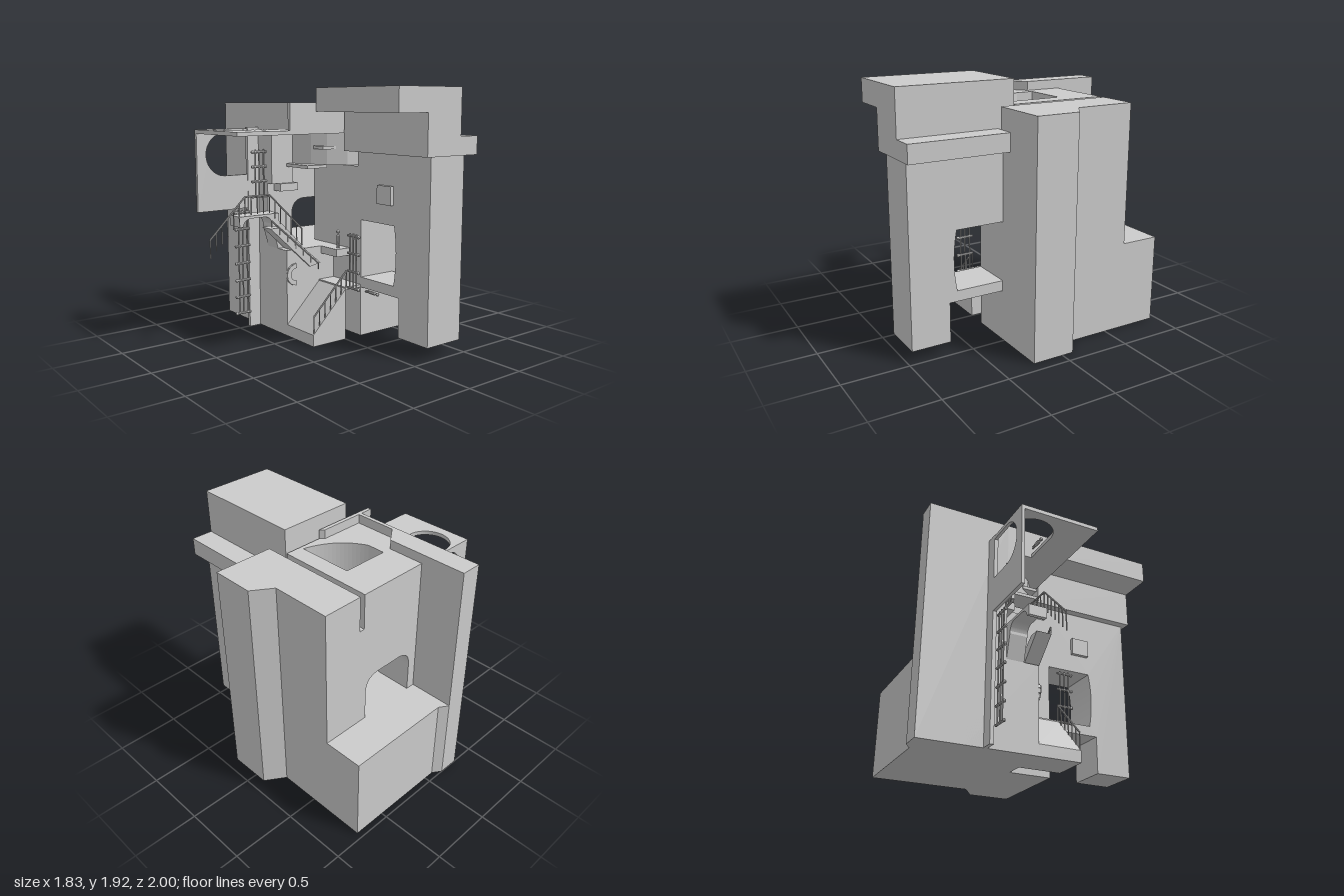
import * as THREE from 'three';

export function createModel() {
  const model = new THREE.Group();
  const mat = new THREE.MeshStandardMaterial({ color: 0xcccccc, flatShading: true, side: THREE.DoubleSide });
  const V = (x, y, z) => new THREE.Vector3(x, y, z);

  const add = (name, geo, parent = model) => {
    const m = new THREE.Mesh(geo, mat);
    m.name = name;
    parent.add(m);
    return m;
  };
  const box = (name, x0, x1, y0, y1, z0, z1, parent) =>
    add(name, new THREE.BoxGeometry(x1 - x0, y1 - y0, z1 - z0)
      .translate((x0 + x1) / 2, (y0 + y1) / 2, (z0 + z1) / 2), parent);
  const poly = (pts) => new THREE.Shape(pts.map(([a, b]) => new THREE.Vector2(a, b)));
  const extrude = (shape, depth) =>
    new THREE.ExtrudeGeometry(shape, { depth, bevelEnabled: false, curveSegments: 16 });
  // shape in x,y swept along z
  const front = (name, shape, z0, z1) => add(name, extrude(shape, z1 - z0).translate(0, 0, z0));
  // shape in x,-z swept upwards
  const plan = (name, shape, y0, y1) => add(name, extrude(shape, y1 - y0).rotateX(-Math.PI / 2).translate(0, y0, 0));
  const planPts = (name, pts, y0, y1) => plan(name, poly(pts.map(([x, z]) => [x, -z])), y0, y1);
  // shape in -z,y swept along x
  const side = (name, shape, x0, x1) => add(name, extrude(shape, x1 - x0).rotateY(Math.PI / 2).translate(x0, 0, 0));
  const rod = (name, a, b, r, parent) => {
    const d = b.clone().sub(a);
    const m = add(name, new THREE.CylinderGeometry(r, r, d.length(), 8), parent);
    m.position.copy(a).addScaledVector(d, 0.5);
    m.quaternion.setFromUnitVectors(V(0, 1, 0), d.normalize());
    return m;
  };
  const group = (name) => {
    const g = new THREE.Group();
    g.name = name;
    model.add(g);
    return g;
  };

  // right tower with a chamfered corner and a slot beside its top
  const outer = [[0.76, -0.65], [0.76, -0.19], [0.91, -0.09], [0.91, 0.24]];
  planPts('rightTower', [[0.41, -0.65], ...outer, [0.15, 0.24], [0.15, -0.36], [0.41, -0.36]], 0, 1.33);
  planPts('rightTowerUpper', [[0.41, -0.65], ...outer, [0.28, 0.24], [0.28, -0.36], [0.41, -0.36]], 1.33, 1.47);
  planPts('rightTowerTop', [[0.45, -0.65], ...outer, [0.45, 0.24]], 1.47, 1.74);

  // low blocks and tall left wall
  planPts('lowBackBlock', [[-0.15, -1], [-0.08, -0.955], [0.76, -0.955], [0.76, -0.65], [-0.15, -0.65]], 0, 0.68);
  box('lowFrontBlock', -0.31, 0.41, 0, 0.68, -0.65, -0.1);
  box('tallLeftWall', -0.31, -0.15, 0, 1.81, -1, -0.36);
  planPts('leftParapet', [[-0.31, -0.36], [-0.15, -0.36], [-0.28, -0.26], [-0.28, 0.1], [-0.31, 0.1]], 1.58, 1.81);
  planPts('frontParapet', [[-0.41, 0.07], [0.07, 0.07], [0.1, 0.1], [-0.41, 0.1]], 1.58, 1.81);
  box('leftPier', -0.41, -0.31, 0, 1.62, -0.52, -0.49);

  // centre body pierced by a round-cornered passage
  const body = new THREE.Shape();
  body.moveTo(-0.31, 0.68);
  body.lineTo(-0.08, 0.68);
  body.lineTo(-0.08, 0.91);
  body.quadraticCurveTo(-0.08, 1.04, 0.05, 1.04);
  body.lineTo(0.25, 1.04);
  body.quadraticCurveTo(0.38, 1.04, 0.38, 0.91);
  body.lineTo(0.38, 0.68);
  body.lineTo(0.41, 0.68);
  body.lineTo(0.41, 1.6);
  body.lineTo(-0.31, 1.6);
  front('centreBody', body, -0.65, -0.36);

  // roof with a well whose side is curved
  const wellPath = (p) => {
    p.moveTo(-0.08, 0.36);
    p.lineTo(0.28, 0.36);
    p.lineTo(0.28, -0.07);
    p.quadraticCurveTo(0.02, -0.01, -0.08, 0.22);
    p.lineTo(-0.08, 0.36);
    return p;
  };
  const roof = poly([[-0.15, 0.65], [0.41, 0.65], [0.41, -0.1], [-0.3, -0.1], [-0.3, 0.26], [-0.15, 0.36]]);
  roof.holes.push(wellPath(new THREE.Path()));
  plan('roof', roof, 1.58, 1.74);
  const shaft = poly([[-0.11, 0.38], [0.3, 0.38], [0.3, -0.1], [0.15, -0.07], [0.02, 0.02], [-0.06, 0.12], [-0.11, 0.22]]);
  shaft.holes.push(wellPath(new THREE.Path()));
  plan('wellShaft', shaft, 1.33, 1.58);
  box('wellFloorLeft', -0.17, 0.02, 1.31, 1.335, -0.36, -0.02);
  box('wellFloorBack', 0.02, 0.28, 1.31, 1.335, -0.36, -0.22);
  box('wellFloorRight', 0.15, 0.28, 1.31, 1.335, -0.22, 0.07);
  box('roofSupport', 0.28, 0.41, 1.47, 1.58, -0.36, 0.24);
  box('wallRecess', -0.31, -0.11, 1.18, 1.58, -0.36, -0.3);
  box('wallLedge', -0.25, -0.08, 1.12, 1.18, -0.36, -0.27);
  box('smallLintel', -0.05, 0.085, 1.455, 1.48, -0.1, 0.02);

  // overhanging front cap
  front('frontCap', poly([[-0.185, 1.745], [0.085, 1.745], [0.085, 1.445], [0.41, 1.445], [0.41, 1.92], [-0.185, 1.92]]), 0.11, 1);
  box('capLedge', 0.41, 0.58, 1.445, 1.58, 0.24, 1);

  // front pillar, lintel wall and sill around a side opening
  const pier = new THREE.Shape();
  pier.moveTo(-0.2, 1.45);
  [[-0.97, 1.45], [-0.97, 0.09], [-0.67, 0.09], [-0.67, 0.39], [-0.2, 0.39], [-0.2, 0.47], [-0.61, 0.47]]
    .forEach(([a, b]) => pier.lineTo(a, b));
  pier.quadraticCurveTo(-0.655, 0.7, -0.61, 0.92);
  pier.lineTo(-0.2, 0.92);
  side('frontPillar', pier, 0.15, 0.48);
  box('doorPanel', 0.12, 0.15, 1.07, 1.21, 0.45, 0.6);
  box('landing', 0, 0.16, 0.39, 0.41, -0.1, 0.24);
  box('innerLedge', 0.02, 0.16, 0.62, 0.68, -0.1, 0.1);

  // thin upright and flat side plates, each with a rounded opening
  const plate = (y0, y1, c, r) => {
    const s = poly([[-0.855, y0], [-0.31, y0], [-0.31, c - r], [-0.61, c - r]]);
    s.absarc(-0.61, c, r, -Math.PI / 2, Math.PI / 2, true);
    s.lineTo(-0.31, c + r);
    s.lineTo(-0.31, y1);
    s.lineTo(-0.855, y1);
    return s;
  };
  front('uprightPlate', plate(0.98, 1.6, 1.415, 0.167), -0.52, -0.495);
  plan('flatPlate', plate(-0.1, 0.52, 0.33, 0.17), 1.58, 1.61);

  // small bridge with an arched underside, flights of stairs
  const bridge = poly([[-0.655, 0.88], [-0.625, 0.88]]);
  bridge.quadraticCurveTo(-0.61, 0.94, -0.55, 0.94);
  bridge.lineTo(-0.43, 0.94);
  bridge.quadraticCurveTo(-0.38, 0.94, -0.36, 0.88);
  bridge.lineTo(-0.3, 0.88);
  bridge.lineTo(-0.3, 0.96);
  bridge.lineTo(-0.655, 0.96);
  front('bridge', bridge, -0.36, -0.22);
  front('upperFlight', poly([[-0.36, 0.96], [-0.08, 0.68], [-0.31, 0.68], [-0.36, 0.86]]), -0.36, -0.22);
  front('middleFlight', poly([[-0.47, 0.87], [-0.38, 0.87], [0, 0.55], [-0.1, 0.53]]), -0.2, -0.08);
  front('lowerFlight', poly([[-0.31, 0], [0, 0], [0, 0.4], [-0.31, 0.09]]), -0.1, 0.24);

  // handrails with hanging balusters
  const railing = (name, pts, z, drop, step) => {
    const g = group(name);
    for (let i = 0; i < pts.length - 1; i++) {
      const a = V(...pts[i], z), b = V(...pts[i + 1], z);
      rod('handrail', a, b, 0.007, g);
      const n = Math.round((b.x - a.x) / step);
      for (let k = 0; k <= n; k++) {
        const p = a.clone().lerp(b, k / n);
        rod('baluster', p, V(p.x, p.y - drop, z), 0.005, g);
      }
    }
  };
  railing('bridgeRailing', [[-0.91, 0.815], [-0.61, 1.11], [-0.39, 1.11], [-0.085, 0.815]], -0.215, 0.14, 0.05);
  railing('middleRailing', [[-0.46, 0.93], [-0.02, 0.55]], -0.08, 0.05, 0.07);
  railing('lowerRailing', [[-0.3, 0.23], [0.01, 0.54]], 0.235, 0.13, 0.05);

  // sideways balustrades: knobbed posts joined by thin rods
  const balustrade = (name, root, dir, heights) => {
    const g = group(name);
    const at = (t, y) => root.clone().addScaledVector(dir, t).setY(y);
    heights.forEach((y) => {
      rod('post', at(0, y), at(0.125, y), 0.01, g);
      add('knob', new THREE.SphereGeometry(0.014, 8, 6), g).position.copy(at(0.125, y));
    });
    [0.025, 0.065, 0.1].forEach((t) =>
      rod('upright', at(t, heights[0]), at(t, heights[heights.length - 1] + 0.02), 0.006, g));
  };
  balustrade('lowerBalustrade', V(-0.41, 0, -0.48), V(-1, 0, 0), [0.13, 0.265, 0.4, 0.54, 0.68, 0.815, 0.95]);
  balustrade('upperBalustrade', V(-0.31, 0, -0.38), V(-1, 0, 0), [1.08, 1.2, 1.315, 1.43]);
  balustrade('frontBalustrade', V(0.02, 0, 0.24), V(0, 0, 1), [0.41, 0.54, 0.68, 0.815]);

  // sideways arch of wedge stones on the low wall
  const stones = group('stoneArch');
  for (let i = 0; i < 7; i++) {
    const a = Math.PI / 2 + (i + 0.5) * Math.PI / 7;
    const m = box('archStone', -0.018, 0.018, -0.017, 0.017, -0.01, 0.01, stones);
    m.position.set(-0.23 + Math.cos(a) * 0.068, 0.485 + Math.sin(a) * 0.068, -0.095);
    m.rotation.z = a;
  }

  // small mannequins
  const figure = (x, y, z, rx, rz) => {
    const g = group('figure');
    add('torso', new THREE.CapsuleGeometry(0.014, 0.05, 3, 8).translate(0, 0.07, 0), g);
    add('head', new THREE.SphereGeometry(0.015, 8, 6).translate(0, 0.13, 0), g);
    [-1, 1].forEach((s) => rod('leg', V(s * 0.008, 0, 0), V(s * 0.008, 0.05, 0), 0.007, g));
    g.position.set(x, y, z);
    g.rotation.set(rx, 0, rz);
  };
  figure(0.075, 0.68, 0.05, 0, 0);
  figure(0.2, 0.35, 0.25, Math.PI / 2, 0);
  figure(-0.41, 1.6, -0.2, 0, Math.PI / 2);
  return model;
}
